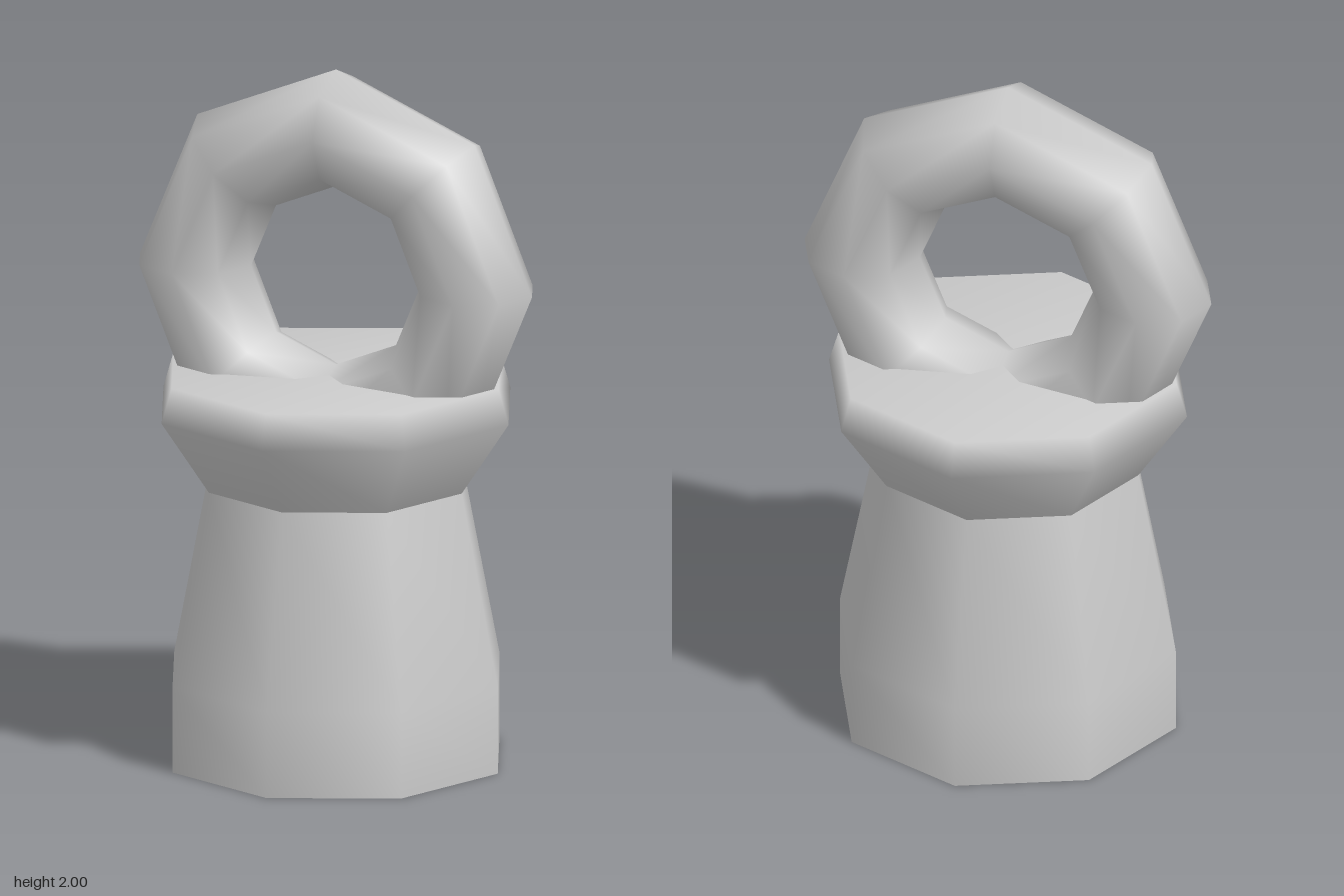
import * as THREE from 'three';

const SIDES = 8;

export function createModel() {
  const group = new THREE.Group();
  const material = new THREE.MeshStandardMaterial({ color: 0xcccccc });

  const add = (name, geometry) => {
    const mesh = new THREE.Mesh(geometry, material);
    mesh.name = name;
    group.add(mesh);
    return mesh;
  };
  // Smooth-shaded eight-sided turned part from [radius, height] pairs, bottom to top
  const turned = (profile) =>
    new THREE.LatheGeometry(profile.map(([r, y]) => new THREE.Vector2(r, y)), SIDES);

  // Tapered body with a straight foot, and its flat underside
  add('body', turned([[0.495, 0], [0.495, 0.25], [0.385, 0.805]]));
  add('bodyBase', turned([[0, 0], [0.495, 0]]));

  // Flared collar with a bevelled rim, closed on top
  add('collar', turned([[0.385, 0.805], [0.528, 1.02], [0.498, 1.12], [0, 1.12]]));

  // Upright ring sunk into the collar
  const ring = add('ring', new THREE.TorusGeometry(0.43, 0.17, SIDES, SIDES));
  ring.position.y = 1.4;

  return group;
}
